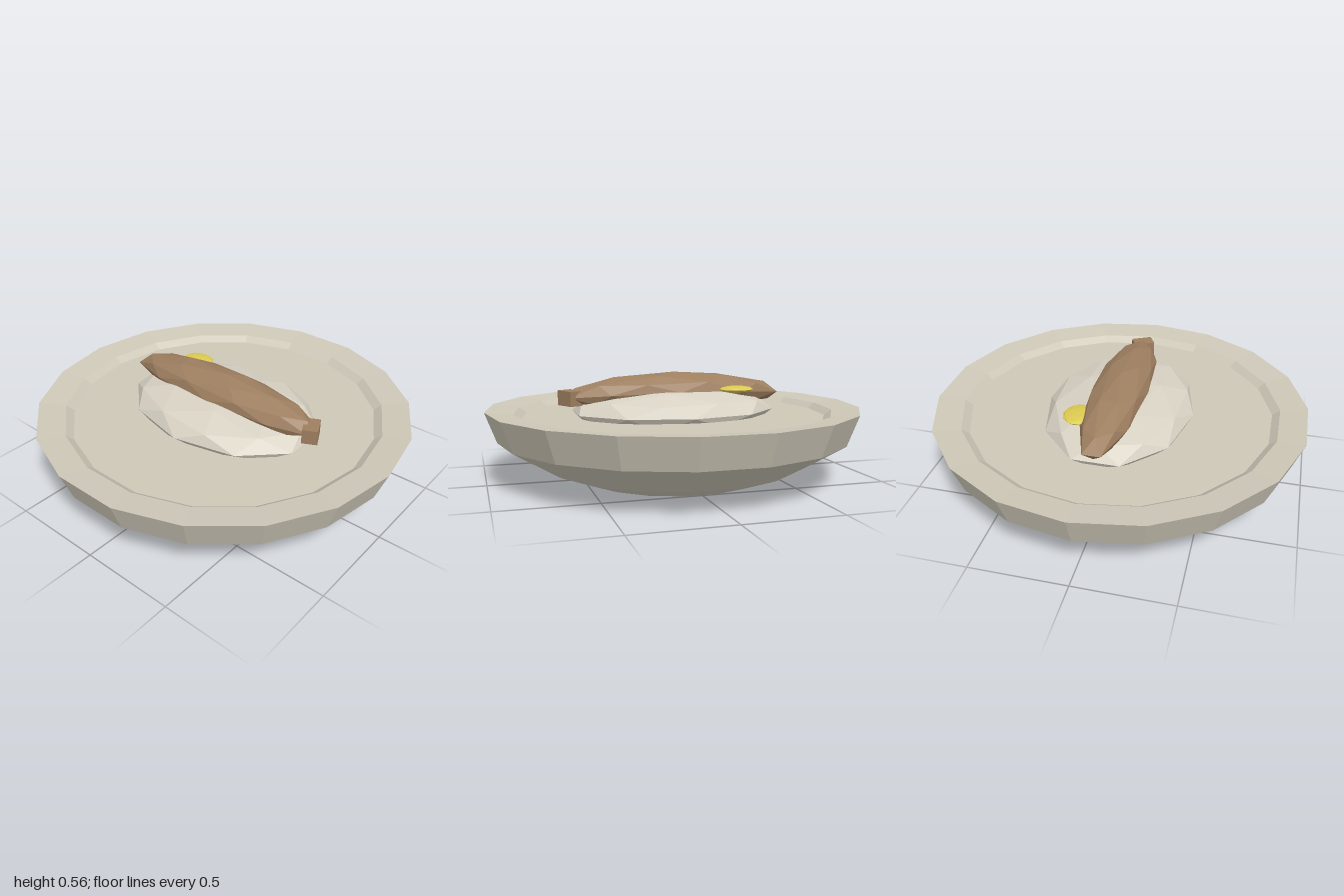
import * as THREE from 'three';

const mat = (color) => new THREE.MeshStandardMaterial({ color, flatShading: true });

// Faceted ellipsoid standing on one vertex, optionally reshaped by a rule
function pebble(name, size, position, material, rule) {
  const geo = new THREE.IcosahedronGeometry(1, 1);
  geo.rotateZ(-Math.atan(2 / (1 + Math.sqrt(5))));
  geo.scale(...size);
  if (rule) {
    const p = geo.attributes.position;
    const v = new THREE.Vector3();
    for (let i = 0; i < p.count; i++) {
      rule(v.fromBufferAttribute(p, i));
      p.setXYZ(i, v.x, v.y, v.z);
    }
    geo.computeVertexNormals();
  }
  const mesh = new THREE.Mesh(geo, material);
  mesh.name = name;
  mesh.position.set(...position);
  return mesh;
}

export function createModel() {
  const model = new THREE.Group();
  model.name = 'bowlOfFood';
  const brown = mat(0x9e7f60);

  // Bowl: 18-sided outside, sloping rim and shallow flat inside
  const profile = [
    [0, 0], [0.5, 0], [0.69, 0.07], [0.94, 0.22], [1, 0.38],
    [0.855, 0.365], [0.815, 0.335], [0, 0.335],
  ].map(([r, y]) => new THREE.Vector2(r, y));
  const bowl = new THREE.Mesh(
    new THREE.LatheGeometry(profile, 18, Math.PI / 2), mat(0xcec8b8));
  bowl.name = 'bowl';
  model.add(bowl);

  // Mound in the middle of the bowl
  model.add(pebble('riceMound', [0.562, 0.122, 0.395], [0, 0.36, 0], mat(0xd8d2c4)));

  // Long topping, drooping at both ends and blunter at the stalk end
  model.add(pebble('topping', [0.626, 0.1, 0.15], [0, 0.465, 0], brown, (v) => {
    v.y -= 0.022 * (v.x / 0.595) ** 2;
    if (v.x > 0.35) v.x = 0.35 + (v.x - 0.35) * 0.9;
  }));

  // Stalk block at the end of the topping
  const stalk = new THREE.Mesh(new THREE.BoxGeometry(0.08, 0.078, 0.115), brown);
  stalk.name = 'stalk';
  stalk.position.set(0.56, 0.44, 0);
  stalk.rotation.y = 0.47;
  model.add(stalk);

  // Small flat garnish behind the topping
  model.add(pebble('garnish', [0.095, 0.018, 0.08], [-0.31, 0.475, -0.142], mat(0xdccb50)));

  return model;
}
